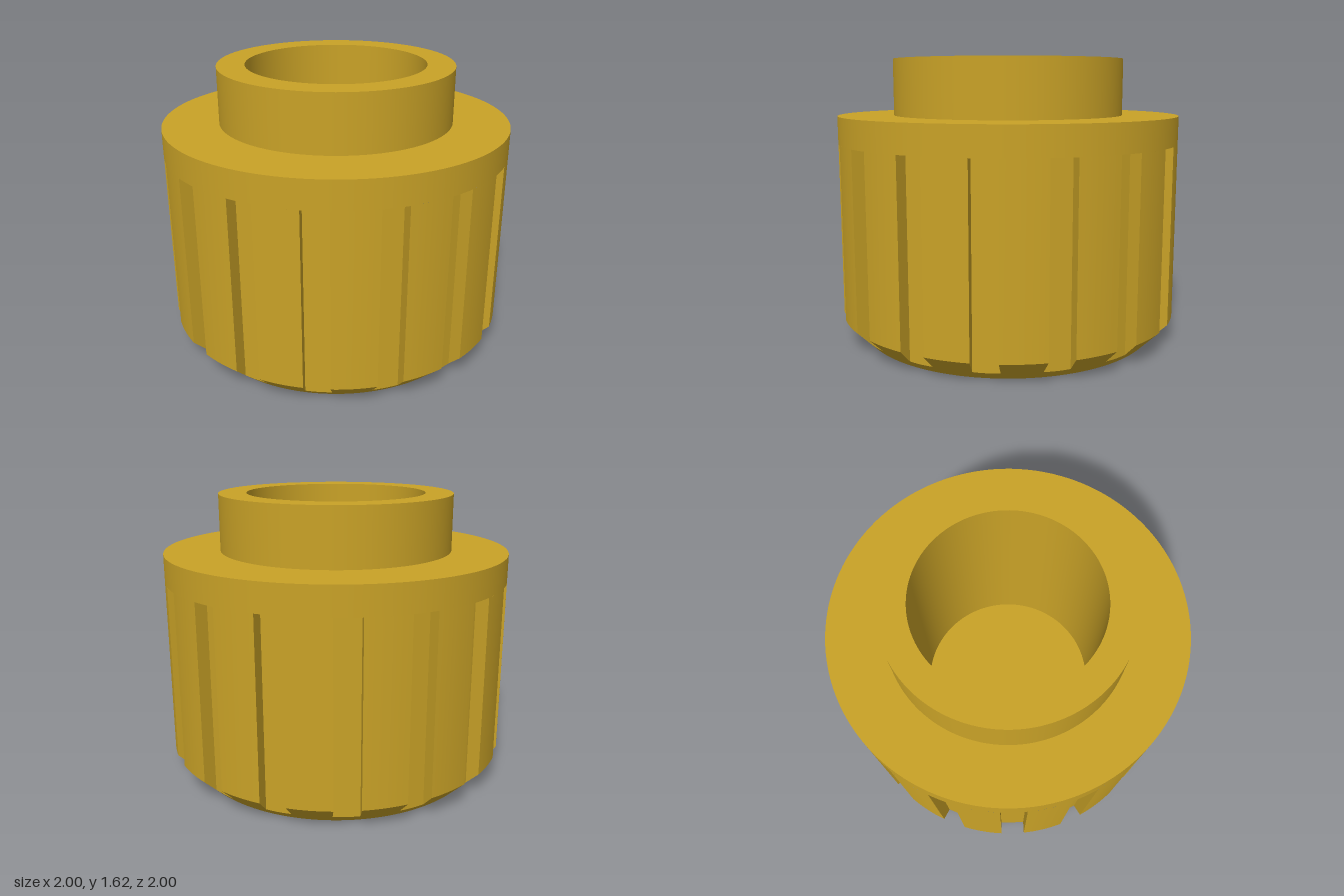
import * as THREE from 'three';
import { mergeGeometries } from 'three/addons/utils/BufferGeometryUtils.js';

const SLOTS = 16, PITCH = (Math.PI * 2) / SLOTS;
const R = 1, R_BASE = 0.875, CHAMFER = 0.125; // body radius, base radius, chamfer height
const W = 0.0725, FLOOR = 0.92, SLOT_TOP = 1.14; // slot half width, floor distance, upper end
const coneY = (r) => ((r - R_BASE) / (R - R_BASE)) * CHAMFER;
const coneR = (y) => R_BASE + ((R - R_BASE) * y) / CHAMFER;
const lerp = THREE.MathUtils.lerp;
const polar = (r, a, y) => [r * Math.sin(a), y, r * Math.cos(a)];

// Grid surface from a rule; u to the right and v up gives the visible side
function patch(rule, nu, nv) {
  const pos = [], index = [];
  for (let j = 0; j <= nv; j++)
    for (let i = 0; i <= nu; i++) pos.push(...rule(i / nu, j / nv));
  for (let j = 0; j < nv; j++)
    for (let i = 0; i < nu; i++) {
      const a = j * (nu + 1) + i, d = a + nu + 1;
      index.push(a, a + 1, d + 1, a, d + 1, d);
    }
  const g = new THREE.BufferGeometry();
  g.setAttribute('position', new THREE.Float32BufferAttribute(pos, 3));
  g.setIndex(index);
  g.computeVertexNormals();
  return g;
}

// Turned profile with a sharp edge at every point
function turned(points) {
  const bands = points.slice(1).map((p, i) => new THREE.LatheGeometry(
    [new THREE.Vector2(...points[i]), new THREE.Vector2(...p)], 128));
  return mergeGeometries(bands);
}

export function createModel() {
  const model = new THREE.Group();
  const brass = new THREE.MeshStandardMaterial({ color: 0xc9a227 });
  brass.name = 'brass gold';
  const add = (name, geometry) => {
    const mesh = new THREE.Mesh(geometry, brass);
    mesh.name = name;
    model.add(mesh);
  };
  const aroundAxis = (parts) => {
    const unit = mergeGeometries(parts);
    return mergeGeometries(Array.from({ length: SLOTS }, (_, i) => unit.clone().rotateY(i * PITCH)));
  };

  const rB = Math.hypot(W, FLOOR), yB = coneY(rB); // lower slot corners
  const half = (r) => Math.asin(W / r);
  const zOut = Math.sqrt(R * R - W * W);
  const ribAngle = (r, u) => lerp(half(r), PITCH - half(r), u);

  // Ribs between the slots, with their chamfered feet
  add('gripRibs', aroundAxis([
    patch((u, v) => polar(R, ribAngle(R, u), lerp(CHAMFER, SLOT_TOP, v)), 8, 1),
    patch((u, v) => {
      const y = lerp(yB, CHAMFER, v), r = coneR(y);
      return polar(r, ribAngle(r, u), y);
    }, 8, 3),
  ]));

  // Chamfer below the ribs and slots
  add('baseChamfer', aroundAxis([
    patch((u, v) => {
      const y = yB * v;
      return polar(coneR(y), ribAngle(rB, u), y);
    }, 8, 1),
    patch((u, v) => {
      const a = lerp(-half(rB), half(rB), u), y = coneY(FLOOR / Math.cos(a)) * v;
      return polar(coneR(y), a, y);
    }, 6, 1),
  ]));

  // Flat-bottomed slots: floor, two walls and ceiling
  const wall = (side) => patch((u, v) => {
    const z = lerp(FLOOR, zOut, side > 0 ? u : 1 - u);
    return [side * W, lerp(coneY(Math.hypot(W, z)), SLOT_TOP, v), z];
  }, 3, 1);
  add('gripSlots', aroundAxis([
    patch((u, v) => {
      const x = W * (2 * u - 1);
      return [x, lerp(coneY(Math.hypot(x, FLOOR)), SLOT_TOP, v), FLOOR];
    }, 6, 1),
    wall(1),
    wall(-1),
    patch((u, v) => {
      const x = W * (2 * u - 1);
      return [x, SLOT_TOP, lerp(FLOOR, Math.sqrt(R * R - x * x), v)];
    }, 6, 1),
  ]));

  // Underside, shoulder, neck and blind bore
  add('underside', turned([[0, 0], [R_BASE, 0]]));
  add('shoulder', turned([[R, SLOT_TOP], [R, 1.3], [0.677, 1.3]]));
  add('neck', turned([[0.677, 1.3], [0.677, 1.625], [0.517, 1.625]]));
  add('bore', turned([[0.517, 1.625], [0.517, 0.4], [0, 0.4]]));

  return model;
}
